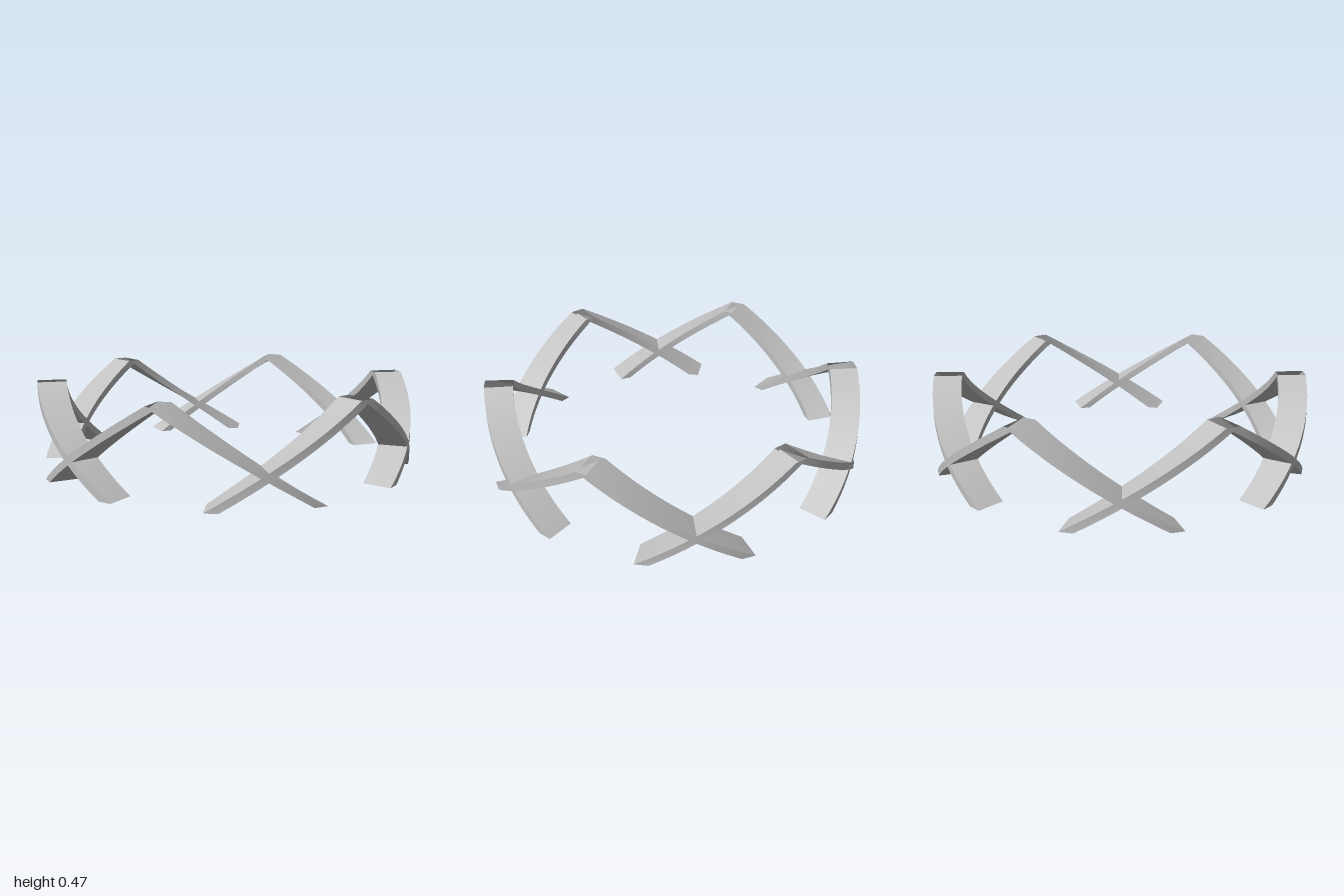
import * as THREE from 'three';

const OUTER = 1, INNER = 0.85;            // ring radii
const PEAK = 0.47, APEX = 0.45;           // top cut and underside height at the peak
const A_TOP = 2.3, E_TOP = 46.9;          // angles (degrees) where the upper face starts and ends
const E_BOTTOM = 42.8;                    // angle where the underside reaches the ground
const STEPS = 24;

// Point on a cylinder: angle in degrees away from the peak
function point(deg, r, y) {
  const a = THREE.MathUtils.degToRad(deg);
  return [r * Math.cos(a), y, -r * Math.sin(a)];
}

// Smooth surface between two matching rows of points
function strip(rowA, rowB) {
  const pos = [], idx = [];
  rowA.forEach((p, i) => {
    pos.push(...p, ...rowB[i]);
    if (i) {
      const k = 2 * i;
      idx.push(k - 2, k, k - 1, k, k + 1, k - 1);
    }
  });
  const g = new THREE.BufferGeometry();
  g.setAttribute('position', new THREE.Float32BufferAttribute(pos, 3));
  g.setIndex(idx);
  g.computeVertexNormals();
  return g;
}

// Upper and lower edge lines of a sloping leg at a given radius
function edge(side, r, upper, fromCentre) {
  const row = [];
  if (fromCentre) row.push(point(0, r, upper ? PEAK : APEX));
  for (let i = 0; i <= STEPS; i++) {
    const t = i / STEPS;
    const deg = upper ? A_TOP + (E_TOP - A_TOP) * t : E_BOTTOM * t;
    row.push(point(side * deg, r, (upper ? PEAK : APEX) * (1 - t)));
  }
  return row;
}

// One leg: four faces, open at the peak cut and at the foot
function makeLeg(side, material) {
  const leg = new THREE.Group();
  leg.name = side > 0 ? 'legA' : 'legB';
  const add = (name, a, b) => {
    const mesh = new THREE.Mesh(side > 0 ? strip(a, b) : strip(b, a), material);
    mesh.name = name;
    leg.add(mesh);
  };
  add('outerWall', edge(side, OUTER, false, true), edge(side, OUTER, true, true));
  add('innerWall', edge(side, INNER, true, true), edge(side, INNER, false, true));
  add('upperFace', edge(side, OUTER, true, false), edge(side, INNER, true, false));
  add('underside', edge(side, INNER, false, false), edge(side, OUTER, false, false));
  return leg;
}

export function createModel() {
  const model = new THREE.Group();
  model.name = 'crossedArchRing';
  const grey = new THREE.MeshStandardMaterial({ color: 0xc0c0c0, side: THREE.DoubleSide });
  grey.name = 'light grey';

  // Six arches, each crossing its neighbours halfway between the peaks
  for (let i = 0; i < 6; i++) {
    const arch = new THREE.Group();
    arch.name = 'arch' + (i + 1);
    arch.add(makeLeg(1, grey), makeLeg(-1, grey));
    arch.rotation.y = i * Math.PI / 3;
    model.add(arch);
  }
  return model;
}
